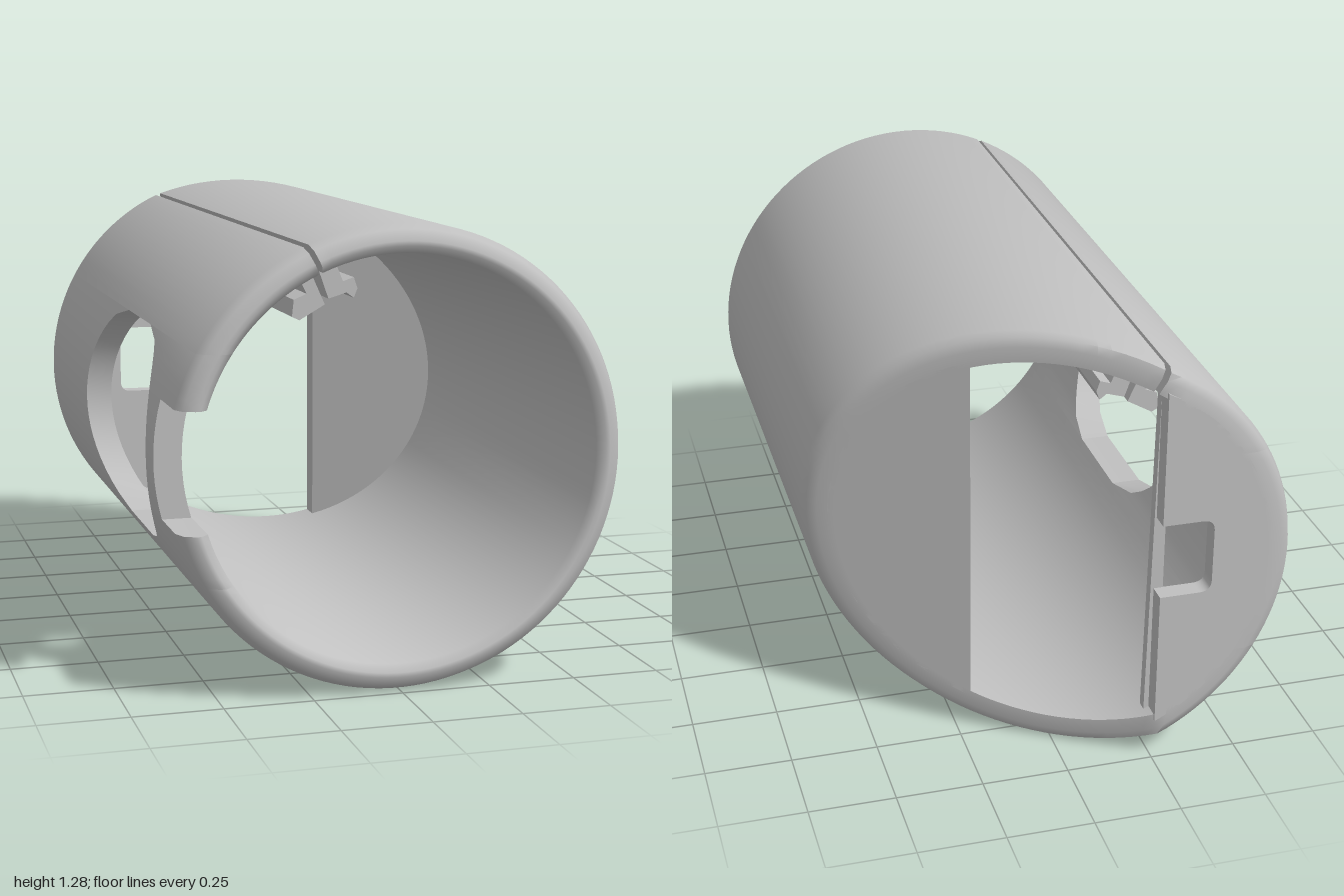
import * as THREE from 'three';
import { toCreasedNormals } from 'three/addons/utils/BufferGeometryUtils.js';

const CY = 0.637, RO = 0.638, RI = 0.56;       // axis height, outer and inner radius
const BEND = -0.27, SLOPE = 0.6;               // where the back starts to slant
const HOLE = 0.31, NOTCH = 0.165;              // half heights of the side cut-outs
const DEG = Math.PI / 180;
const holeAngle = Math.asin(HOLE / RO), notchAngle = Math.asin(NOTCH / RO);

const backZ = (x) => -1 + Math.max(0, x - BEND) * SLOPE;

// Inner angle for an outer angle: cuts stay level near the side hole, radial elsewhere
function innerAngle(t) {
  const d = t - Math.PI, a = Math.abs(d);
  if (a <= holeAngle) return Math.PI + Math.asin(RO * Math.sin(d) / RI);
  const extra = Math.asin(HOLE / RI) - holeAngle;
  return t + Math.sign(d) * extra * Math.max(0, 1 - (a - holeAngle) / 0.5);
}

// Side hole: a long slot with round ends; dir picks its back or front end
const holeEnd = (dir) => (x, t) => {
  const h = RO * Math.sin(t);
  return 0.2 + dir * (0.165 + Math.sqrt(Math.max(0, HOLE * HOLE - h * h)));
};

// End profiles as [radius, offset from the end]
const squareBack = [[RI, 0], [RO, 0]];
const squareFront = [[RO, 0], [RI, 0]];
const roundBack = [[RI, 0], [RO - 0.035, 0], [RO - 0.01, 0.01], [RO, 0.035]];
const roundFront = [[RO, -0.05], [RO - 0.015, -0.015], [RO - 0.045, 0], [RI + 0.02, 0], [RI, -0.02]];

// Curved wall piece lofted from angle a to b between two ends
function wall(a, b, back, backProfile, front, frontProfile) {
  const steps = Math.max(4, Math.ceil((b - a) / (3 * DEG)));
  const loop = [...backProfile.map((p) => [...p, back]), ...frontProfile.map((p) => [...p, front])];
  const n = loop.length, pos = [], index = [];
  for (let i = 0; i <= steps; i++) {
    const t = a + (b - a) * i / steps, ti = innerAngle(t);
    for (const [r, dz, end] of loop) {
      const k = (r - RI) / (RO - RI), ang = ti + (t - ti) * k;
      const x = r * Math.cos(ang);
      pos.push(x, CY + r * Math.sin(ang), end(x, t) + dz);
    }
  }
  for (let i = 0; i < steps; i++) {
    for (let j = 0; j < n; j++) {
      const j2 = (j + 1) % n, p = i * n, q = p + n;
      index.push(p + j, q + j, q + j2, p + j, q + j2, p + j2);
    }
  }
  const last = steps * n;
  for (let j = 1; j < n - 1; j++) {
    index.push(0, j, j + 1, last, last + j + 1, last + j);
  }
  const g = new THREE.BufferGeometry();
  g.setAttribute('position', new THREE.Float32BufferAttribute(pos, 3));
  g.setIndex(index);
  return toCreasedNormals(g, 50 * DEG);
}

function extrude(shape, z0, z1) {
  const g = new THREE.ExtrudeGeometry(shape, { depth: z1 - z0, bevelEnabled: false, curveSegments: 32 });
  return g.translate(0, 0, z0);
}

const polygon = (points) => new THREE.Shape(points.map(([x, y]) => new THREE.Vector2(x, y)));

export function createModel() {
  const model = new THREE.Group();
  model.name = 'slantedSleeve';
  const grey = new THREE.MeshStandardMaterial({ color: 0xc0c0c0 });
  grey.name = 'grey';
  const add = (name, geometry) => {
    const mesh = new THREE.Mesh(geometry, grey);
    mesh.name = name;
    model.add(mesh);
  };

  // Tube wall, open at the slit and split around the side cut-outs
  const slit = 114.1 * DEG, gap = 0.012;
  const frontZ = () => 1, barZ = () => 0.78;
  const lo = Math.PI - holeAngle, hi = Math.PI + holeAngle;
  const nLo = Math.PI - notchAngle, nHi = Math.PI + notchAngle;
  add('mainWall', wall(hi, slit + 2 * Math.PI - gap, backZ, roundBack, frontZ, roundFront));
  add('upperSideWall', wall(slit + gap, lo, backZ, roundBack, frontZ, roundFront));
  add('wallBehindHole', wall(lo, hi, backZ, roundBack, holeEnd(-1), squareFront));
  add('upperFrontTab', wall(lo, nLo, holeEnd(1), squareBack, frontZ, roundFront));
  add('lowerFrontTab', wall(nHi, hi, holeEnd(1), squareBack, frontZ, roundFront));
  add('bridgeBehindNotch', wall(nLo, nHi, holeEnd(1), squareBack, barZ, squareFront));

  // Flat back plate with a rounded notch in its inner edge
  const R = RI + 0.015, edge = -0.255;
  const half = Math.acos(-edge / R);
  const flat = new THREE.Shape();
  flat.absarc(0, CY, R, Math.PI - half, Math.PI + half, false);
  flat.lineTo(edge, 0.53);
  flat.lineTo(-0.37, 0.53);
  flat.quadraticCurveTo(-0.405, 0.53, -0.405, 0.565);
  flat.lineTo(-0.405, 0.72);
  flat.quadraticCurveTo(-0.405, 0.755, -0.37, 0.755);
  flat.lineTo(edge, 0.755);
  add('flatBackPlate', extrude(flat, -1, -0.945));

  // Thin lip that closes the notch on the inside
  add('plateLip', extrude(polygon([[-0.282, 0.14], [-0.24, 0.13], [-0.255, 1.135], [-0.282, 1.12]]), -0.946, -0.915));

  // Slanted back plate, sheared to follow the cut
  const side = Math.acos(0.21 / R);
  const slanted = new THREE.Shape();
  slanted.absarc(0, CY, R, -side, side, false);
  const slantGeometry = extrude(slanted, -1, -0.93);
  const p = slantGeometry.attributes.position;
  for (let i = 0; i < p.count; i++) p.setZ(i, p.getZ(i) + (p.getX(i) - BEND) * SLOPE);
  slantGeometry.computeVertexNormals();
  add('slantedBackPlate', slantGeometry);

  // Hooked rails on both sides of the slit
  add('sideRail', extrude(polygon([[-0.29, 1.03], [-0.27, 1.02], [-0.2, 1.06], [-0.24, 1.15],
    [-0.275, 1.14], [-0.25, 1.09], [-0.285, 1.075]]), -0.83, 0.92));
  add('topRail', extrude(polygon([[-0.22, 1.16], [-0.19, 1.075], [-0.14, 1.09], [-0.12, 1.075],
    [-0.11, 1.1], [-0.12, 1.13], [-0.15, 1.12], [-0.175, 1.18]]), -0.83, 0.92));

  return model;
}
